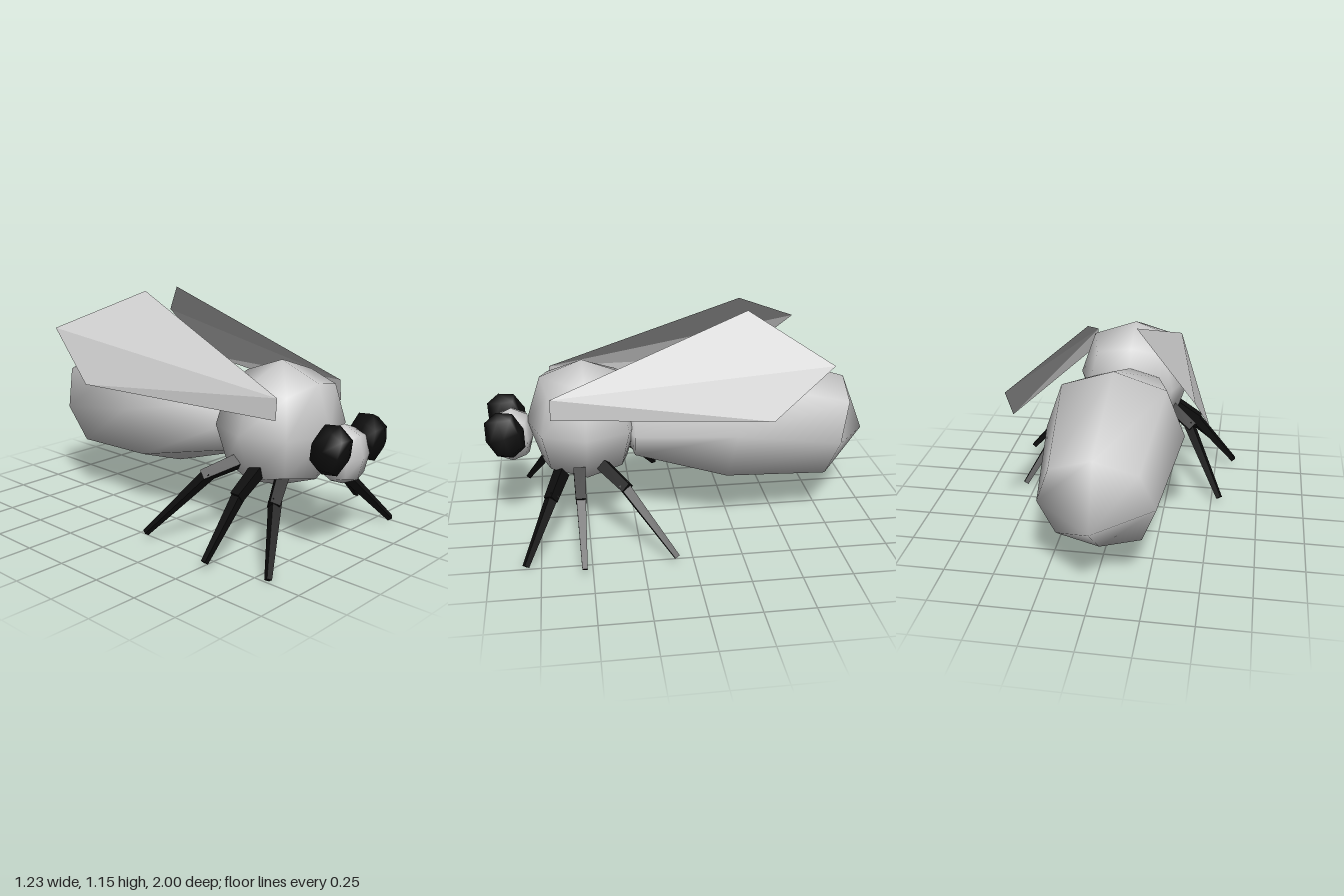
import * as THREE from 'three';
import { mergeVertices } from 'three/addons/utils/BufferGeometryUtils.js';

const MID = -0.02; // body midline
const grey = new THREE.MeshStandardMaterial({ color: 0xcccccc });
const wingMat = new THREE.MeshStandardMaterial({ color: 0xcccccc, side: THREE.DoubleSide, flatShading: true });
const black = new THREE.MeshStandardMaterial({ color: 0x0d0d0d });
const blackFlat = new THREE.MeshStandardMaterial({ color: 0x0d0d0d, flatShading: true });

// A box split 2x2x2 whose 26 corners (each -1, 0 or 1) are moved by a rule, with smooth normals
function roundedBlob(name, material, rule) {
  let geo = new THREE.BoxGeometry(2, 2, 2, 2, 2, 2);
  geo.deleteAttribute('normal');
  geo.deleteAttribute('uv');
  geo = mergeVertices(geo);
  const p = geo.attributes.position;
  for (let n = 0; n < p.count; n++) {
    p.setXYZ(n, ...rule(Math.round(p.getX(n)), Math.round(p.getY(n)), Math.round(p.getZ(n))));
  }
  geo.computeVertexNormals();
  const mesh = new THREE.Mesh(geo, material);
  mesh.name = name;
  return mesh;
}

// Ellipsoid rule: face centres, edge middles and corners pulled in by different amounts
function ellipsoid(rx, ry, rz) {
  const pull = [0, 1, 0.74, 0.61];
  return (i, j, k) => {
    const s = pull[Math.abs(i) + Math.abs(j) + Math.abs(k)];
    return [i * rx * s, j * ry * s, k * rz * s];
  };
}

// Abdomen rings: centre y, centre z, half width, half height, backward lean
const rings = {
  '-1': { y: 0.468, z: -0.805, w: 0.275, h: 0.268, lean: 0.075 },
  '0': { y: 0.57, z: -0.25, w: 0.35, h: 0.345, lean: 0.05 },
  '1': { y: 0.54, z: 0.25, w: 0.22, h: 0.168, lean: 0 },
};
const tips = { '-1': [MID, 0.43, -1], '1': [MID, 0.56, 0.36] };
function abdomenRule(i, j, k) {
  if (i === 0 && j === 0 && k !== 0) return tips[k];
  const r = rings[k], s = i && j ? 0.74 : 1;
  return [MID + i * r.w * s, r.y + j * r.h * s, r.z - j * r.lean * s];
}

// Flat folded wing, side = 1 (left) or -1 (right)
function wing(side) {
  const pts = [[0.245, 0.775, 0.67], [0.115, 1.15, -0.33], [0.425, 0.95, -0.7], [0.478, 0.7, -0.4], [0.253, 0.67, 0.67]];
  const geo = new THREE.BufferGeometry();
  geo.setAttribute('position', new THREE.Float32BufferAttribute(pts.flatMap(([x, y, z]) => [MID + side * x, y, z]), 3));
  geo.setIndex(side > 0 ? [0, 2, 1, 0, 3, 2, 0, 4, 3] : [0, 1, 2, 0, 2, 3, 0, 3, 4]);
  geo.computeVertexNormals();
  const mesh = new THREE.Mesh(geo, wingMat);
  mesh.name = side > 0 ? 'leftWing' : 'rightWing';
  return mesh;
}

// Tapered four-sided bar between two points
function bar(name, from, to, r0, r1) {
  const a = new THREE.Vector3(...from), b = new THREE.Vector3(...to);
  const dir = b.clone().sub(a);
  const geo = new THREE.CylinderGeometry(r1, r0, dir.length(), 4);
  geo.rotateY(Math.PI / 4);
  const mesh = new THREE.Mesh(geo, blackFlat);
  mesh.position.copy(a).add(b).multiplyScalar(0.5);
  mesh.quaternion.setFromUnitVectors(new THREE.Vector3(0, 1, 0), dir.normalize());
  mesh.name = name;
  return mesh;
}

// Legs: hip, knee and foot on the left side
const legs = {
  front: [[0.17, 0.355, 0.63], [0.3, 0.27, 0.69], [0.495, 0.015, 0.825]],
  middle: [[0.24, 0.395, 0.54], [0.39, 0.3, 0.54], [0.605, 0.045, 0.54]],
  back: [[0.24, 0.415, 0.42], [0.375, 0.345, 0.31], [0.545, 0.04, 0.085]],
};

export function createModel() {
  const model = new THREE.Group();
  model.name = 'insect';

  model.add(roundedBlob('abdomen', grey, abdomenRule));

  const thorax = roundedBlob('thorax', grey, ellipsoid(0.313, 0.318, 0.295));
  thorax.position.set(MID, 0.573, 0.5);
  model.add(thorax);

  const head = roundedBlob('head', grey, ellipsoid(0.125, 0.145, 0.11));
  head.position.set(MID, 0.5, 0.872);
  model.add(head);

  for (const side of [1, -1]) {
    const label = side > 0 ? 'left' : 'right';

    const eye = roundedBlob(label + 'Eye', black, ellipsoid(0.074, 0.126, 0.1));
    eye.position.set(MID + side * 0.142, 0.557, 0.902);
    eye.rotation.set(0.3, 0, side * 0.1);
    model.add(eye);

    model.add(wing(side));

    for (const [place, points] of Object.entries(legs)) {
      const [hip, knee, foot] = points.map(([x, y, z]) => [side * x, y, z]);
      const leg = new THREE.Group();
      leg.name = label + place[0].toUpperCase() + place.slice(1) + 'Leg';
      leg.add(bar('upperLeg', hip, knee, 0.042, 0.036));
      leg.add(bar('lowerLeg', knee.map((v, n) => v + (hip[n] - v) * 0.2), foot, 0.034, 0.018));
      model.add(leg);
    }
  }
  return model;
}
